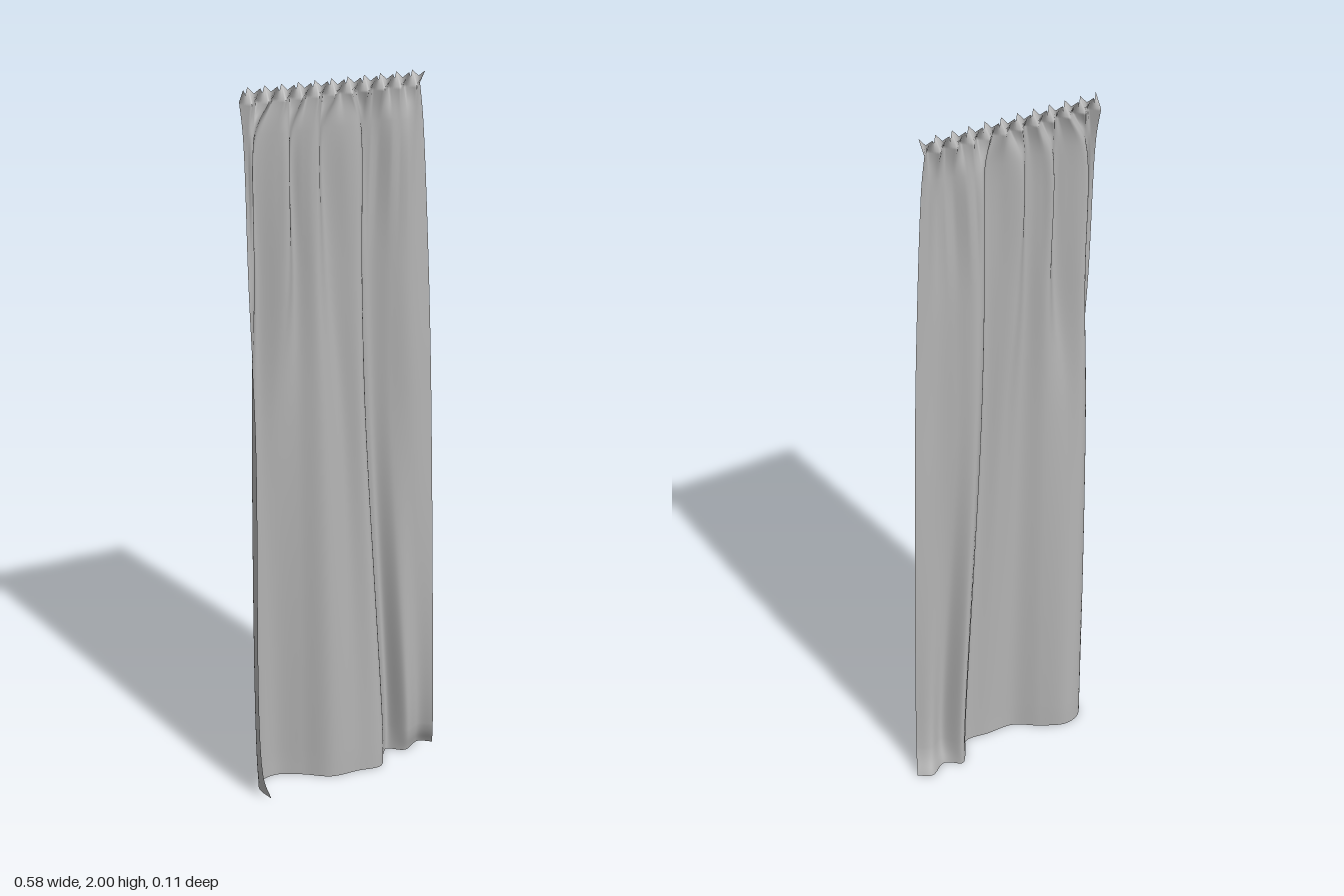
import * as THREE from 'three';

// Horizontal sections of the hanging cloth, bottom to top: height, then x,z pairs
const SECTIONS = [
  [0.08, [-.285, .053, -.28, 0, -.25, -.042, -.2, -.054, -.13, -.022, -.06, .024, .02, .03, .092, .036, .125, -.015, .15, -.04, .19, .01, .235, -.008, .272, .014]],
  [1.1, [-.285, .046, -.276, 0, -.247, -.028, -.2, -.02, -.14, -.009, -.08, .019, -.02, .008, .035, .026, .065, -.014, .09, -.033, .135, -.01, .19, .011, .25, .01]],
  [1.5, [-.285, .018, -.268, .012, -.245, -.021, -.175, .012, -.142, -.012, -.09, .015, -.05, -.004, .028, .02, .055, -.018, .08, -.026, .13, -.002, .175, .012, .237, .004]],
  [1.88, [-.285, .002, -.265, .015, -.24, -.014, -.172, .013, -.143, -.012, -.09, .012, -.06, -.01, .025, .015, .052, -.015, .085, -.013, .13, .01, .17, .012, .219, -.005]],
];
const COLS = 132, PLEATS = 11, STEPS = 12;

// One pleated row of the heading tape; the side flips the zigzag
function headingPoint(u, y, side, scallop) {
  const p = u * PLEATS;
  const zig = 1 - 4 * Math.abs(p - Math.floor(p) - 0.5);
  const dip = scallop * (1 - Math.abs(zig));
  return new THREE.Vector3(-.287 + u * .5, y - dip, side * zig * .013);
}

// Hem below the lowest section: left edge curls in, right edge kicks out and back
function hemPoint(p, u) {
  const left = Math.max(0, 1 - u * 8);
  const right = THREE.MathUtils.smoothstep(u, .75, .88);
  return new THREE.Vector3(p.x + .023 * left + .015 * right, 0, p.z - .03 * right);
}

function clothGeometry() {
  const curves = SECTIONS.map(([y, xz]) => {
    const pts = [];
    for (let i = 0; i < xz.length; i += 2) pts.push(new THREE.Vector3(xz[i], y, xz[i + 1]));
    return new THREE.CatmullRomCurve3(pts);
  });
  const pos = [], index = [];
  const last = (SECTIONS.length + 1) * STEPS;
  const rows = last + 2;
  for (let c = 0; c <= COLS; c++) {
    const u = c / COLS;
    // Vertical thread from the hem through every section to the pleated heading
    const folds = curves.map((k) => k.getPoint(u));
    const thread = new THREE.CatmullRomCurve3([
      hemPoint(folds[0], u),
      ...folds,
      headingPoint(u, 1.965, 1, 0),
    ]);
    for (let r = 0; r <= last; r++) pos.push(...thread.getPoint(r / last).toArray());
    pos.push(...headingPoint(u, 2, -1, .014).toArray());
  }
  for (let c = 0; c < COLS; c++) {
    for (let r = 0; r < rows - 1; r++) {
      const a = c * rows + r, b = a + rows;
      index.push(a, b, b + 1, a, b + 1, a + 1);
    }
  }
  const geo = new THREE.BufferGeometry();
  geo.setAttribute('position', new THREE.Float32BufferAttribute(pos, 3));
  geo.setIndex(index);
  geo.computeVertexNormals();
  return geo;
}

export function createModel() {
  const group = new THREE.Group();
  group.name = 'curtain';
  const fabric = new THREE.MeshStandardMaterial({ color: 0xb4b4b4, side: THREE.DoubleSide });
  fabric.name = 'grey fabric';
  const cloth = new THREE.Mesh(clothGeometry(), fabric);
  cloth.name = 'curtainCloth';
  group.add(cloth);
  return group;
}
